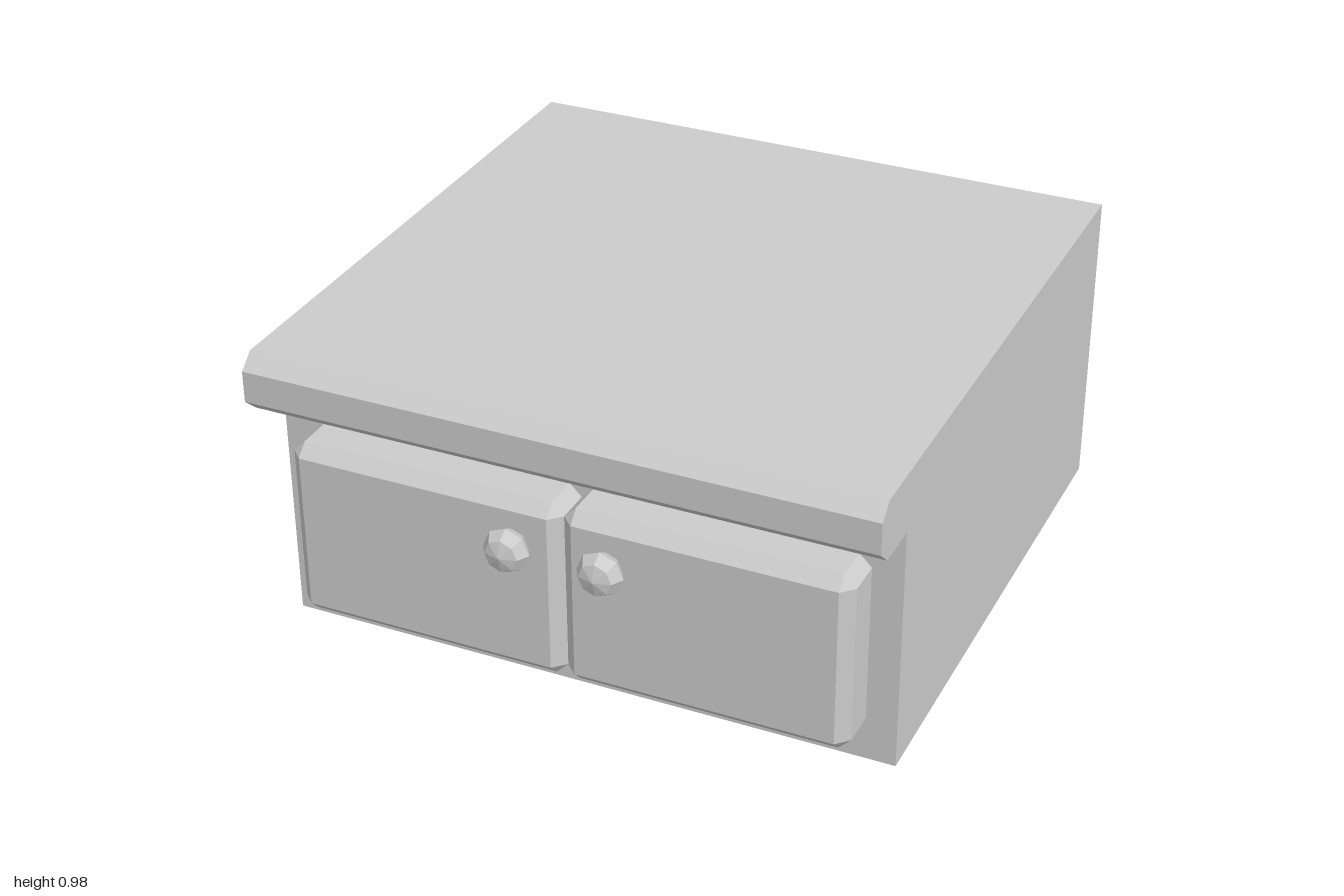
import * as THREE from 'three';
import { ConvexGeometry } from 'three/addons/geometries/ConvexGeometry.js';

const material = new THREE.MeshStandardMaterial({ color: 0xcccccc, flatShading: true });

function addMesh(parent, name, geometry) {
  const mesh = new THREE.Mesh(geometry, material);
  mesh.name = name;
  parent.add(mesh);
  return mesh;
}

// Side profile (z, y) with an overhanging chamfered top lip, extruded across x
function cabinetGeometry(width) {
  const profile = [
    [-1, 0], [0.76, 0], [0.76, 0.79], [0.91, 0.79],
    [0.96, 0.835], [0.96, 0.935], [0.91, 0.98], [-1, 0.98],
  ].map(([z, y]) => new THREE.Vector2(z, y));
  const geometry = new THREE.ExtrudeGeometry(new THREE.Shape(profile), {
    depth: width, bevelEnabled: false,
  });
  geometry.translate(0, 0, -width / 2);
  geometry.rotateY(-Math.PI / 2); // profile z onto world z
  return geometry;
}

// Box with cut front edges and upright corners; its back sits flat on the cabinet
function doorGeometry(w, h, back, front, bevel) {
  const points = [];
  for (const sx of [-1, 1]) {
    for (const sy of [-1, 1]) {
      const x = sx * w / 2, y = sy * h / 2;
      const xi = x - sx * bevel, yi = y - sy * bevel;
      for (const z of [back, front - bevel]) {
        points.push(new THREE.Vector3(x, yi, z), new THREE.Vector3(xi, y, z));
      }
      points.push(new THREE.Vector3(xi, yi, front));
    }
  }
  return new ConvexGeometry(points);
}

export function createModel() {
  const model = new THREE.Group();
  model.name = 'cabinet';
  addMesh(model, 'cabinetBody', cabinetGeometry(1.95));

  // Flattened eight-sided knob, pole facing forward
  const knob = new THREE.SphereGeometry(0.073, 8, 4);
  knob.rotateX(Math.PI / 2);
  knob.scale(1, 1, 0.7);
  const door = doorGeometry(0.88, 0.585, 0.76, 0.91, 0.038);

  for (const [side, s] of [['left', 1], ['right', -1]]) {
    addMesh(model, side + 'Door', door).position.set(s * 0.44, 0.395, 0);
    addMesh(model, side + 'Knob', knob).position.set(s * 0.147, 0.542, 0.949);
  }
  return model;
}
